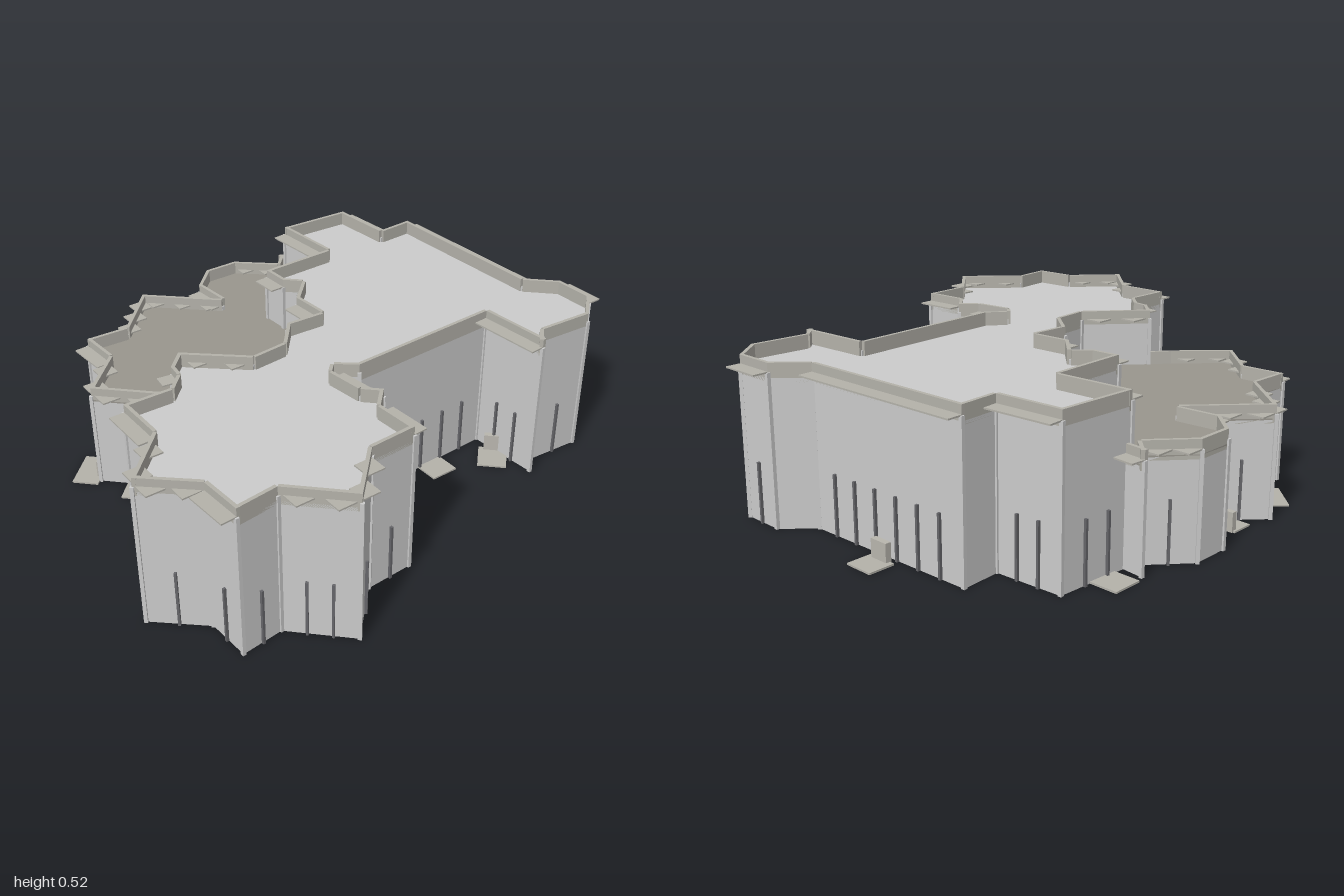
import * as THREE from 'three';

// Plan outlines as [x, z], clockwise seen from above
const HALL = [
  [-0.09, -0.97], [0.08, -0.82], [0.17, -0.92], [0.62, -0.49], [0.75, -0.49], [0.85, -0.39],
  [0.84, -0.26], [0.69, -0.13], [0.69, -0.06], [0.5, -0.23], [0.12, 0.18], [0.04, 0.19],
  [0.04, 0.23], [0.14, 0.31], [0.21, 0.31], [0.21, 0.4], [0.32, 0.5], [0.21, 0.62],
  [0.21, 0.84], [-0.02, 0.84], [-0.11, 0.95], [-0.22, 0.85], [-0.42, 0.86], [-0.42, 0.635],
  [-0.545, 0.51], [-0.43, 0.4], [-0.43, 0.32], [-0.46, 0.28], [-0.46, 0.19], [-0.22, 0.175],
  [-0.14, 0.08], [-0.15, -0.05], [-0.05, -0.14], [-0.15, -0.23], [-0.15, -0.355],
  [-0.22, -0.355], [-0.29, -0.42], [-0.1, -0.62], [-0.29, -0.79],
];
const WING = [
  [-0.46, 0.2], [-0.54, 0.21], [-0.76, 0.21], [-0.76, 0], [-0.87, -0.1], [-0.76, -0.2],
  [-0.77, -0.45], [-0.47, -0.46], [-0.58, -0.555], [-0.58, -0.68], [-0.49, -0.77],
  [-0.32, -0.78], [-0.32, -0.86], [-0.27, -0.8],
];
// Points closing the wing inside the hall
const WING_INNER = [[-0.09, -0.62], [-0.27, -0.42], [-0.14, -0.34], [-0.14, -0.23], [-0.04, -0.14],
  [-0.14, -0.05], [-0.13, 0.08], [-0.21, 0.19]];

const mat = (color) => new THREE.MeshStandardMaterial({ color });
const wallMat = mat(0xcccccc);
const trimMat = mat(0xb4b2aa);
const wingRoofMat = mat(0x99968e);
const finMat = mat(0x66666a);
const doorMat = mat(0xb9b6ae);

function box(parent, name, size, pos, angle, material) {
  const m = new THREE.Mesh(new THREE.BoxGeometry(...size), material);
  m.name = name;
  m.position.set(...pos);
  m.rotation.y = angle;
  parent.add(m);
}

// Solid prism over a plan outline
function prism(parent, name, outline, y0, y1, material) {
  const shape = new THREE.Shape(outline.map(([x, z]) => new THREE.Vector2(x, -z)));
  const geo = new THREE.ExtrudeGeometry(shape, { depth: y1 - y0, bevelEnabled: false });
  geo.rotateX(-Math.PI / 2);
  const m = new THREE.Mesh(geo, material);
  m.name = name;
  m.position.y = y0;
  parent.add(m);
}

// Parapet, sunshades, corner posts and fins along each wall
function dressWalls(parent, outline, closed, top, base) {
  const count = closed ? outline.length : outline.length - 1;
  for (let i = 0; i < count; i++) {
    const [ax, az] = outline[i];
    const [bx, bz] = outline[(i + 1) % outline.length];
    const len = Math.hypot(bx - ax, bz - az);
    const dx = (bx - ax) / len, dz = (bz - az) / len;
    const nx = dz, nz = -dx;
    const angle = Math.atan2(-dz, dx);
    const at = (t, out, y) => [ax + dx * t + nx * out, y, az + dz * t + nz * out];

    box(parent, 'parapet', [len, 0.06, 0.012], at(len / 2, -0.006, top - 0.03), angle, trimMat);
    box(parent, 'cornerPost', [0.012, top - base - 0.03, 0.012], at(0, 0, (top + base - 0.03) / 2), angle, wallMat);

    const diagonal = Math.min(Math.abs(dx), Math.abs(dz)) > 0.4;
    const shadeY = top - 0.03;
    if (diagonal && nx * nz < 0) {
      box(parent, 'sunshade', [len, 0.005, 0.05], at(len / 2, 0.025, shadeY), angle, trimMat);
    } else if (!diagonal && len > 0.15) {
      // Rows of small diamond plates on the straight walls
      const n = Math.max(1, Math.round(len / 0.1));
      for (let k = 0; k < n; k++) {
        box(parent, 'sunshade', [0.062, 0.005, 0.062], at((k + 0.5) * len / n, 0, shadeY), Math.PI / 4, trimMat);
      }
    }
    // Window fins at ground level
    if (base === 0) {
      const n = Math.round(len / 0.09);
      for (let k = 1; k < n; k++) {
        box(parent, 'windowFin', [0.008, 0.2, 0.012], at(k * len / n, 0.003, 0.1), angle, finMat);
      }
    }
  }
}

export function createModel() {
  const group = new THREE.Group();

  const hall = new THREE.Group();
  hall.name = 'hall';
  prism(hall, 'hallWalls', HALL, 0, 0.478, wallMat);
  dressWalls(hall, HALL, true, 0.525, 0);
  group.add(hall);

  const wing = new THREE.Group();
  wing.name = 'lowWing';
  const wingPlan = [...WING, ...WING_INNER];
  prism(wing, 'wingWalls', wingPlan, 0.001, 0.325, wallMat);
  prism(wing, 'wingRoof', wingPlan, 0.325, 0.33, wingRoofMat);
  dressWalls(wing, WING, false, 0.375, 0);
  group.add(wing);

  // Entrances: [x, z, width, depth, facing angle]
  const q = Math.PI / 4;
  const entrances = [
    [0.36, -0.04, 0.1, 0.12, q], [0.56, -0.12, 0.1, 0.11, 3 * q - Math.PI / 2 - q],
    [-0.23, -0.88, 0.1, 0.13, -3 * q], [0.44, -0.76, 0.1, 0.09, 3 * q],
    [-0.64, -0.5, 0.08, 0.08, -q], [-0.81, -0.27, 0.15, 0.09, -2 * q],
    [-0.81, 0.16, 0.15, 0.09, -2 * q], [-0.59, 0.25, 0.15, 0.09, 0],
  ];
  entrances.forEach(([x, z, w, d, a]) => {
    const e = new THREE.Group();
    e.name = 'entrance';
    e.position.set(x, 0, z);
    e.rotation.y = a;
    box(e, 'doorstep', [w, 0.006, d], [0, 0.003, 0], 0, trimMat);
    box(e, 'door', [0.065, 0.065, 0.02], [0, 0.033, -d / 2 + 0.005], 0, doorMat);
    group.add(e);
  });

  return group;
}
